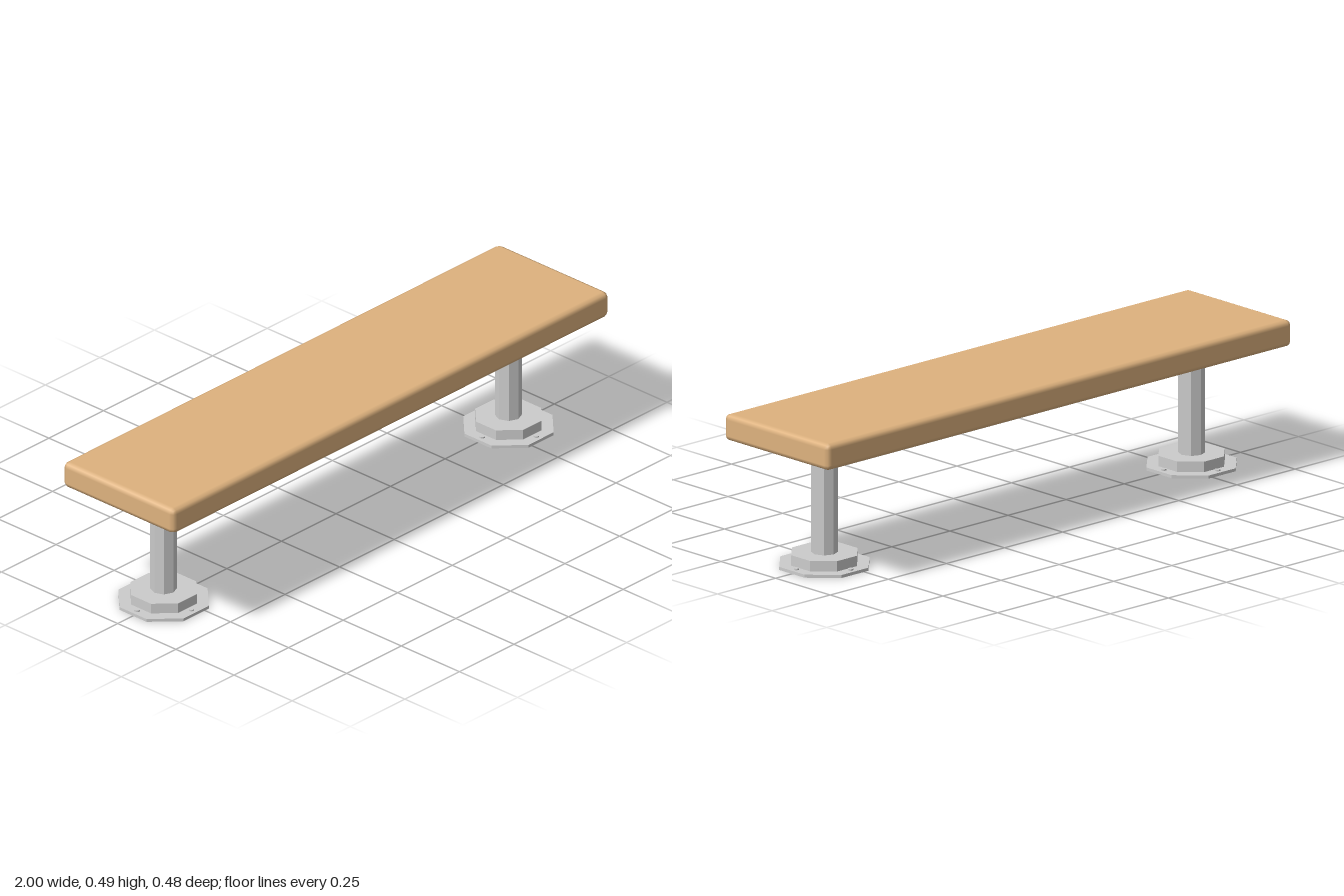
import * as THREE from 'three';
import { RoundedBoxGeometry } from 'three/addons/geometries/RoundedBoxGeometry.js';

const wood = new THREE.MeshStandardMaterial({ color: 0xdeb27e });
const metal = new THREE.MeshStandardMaterial({ color: 0xcccccc, flatShading: true });

function add(parent, name, geometry, material, x, y, z) {
  const mesh = new THREE.Mesh(geometry, material);
  mesh.name = name;
  mesh.position.set(x, y, z);
  parent.add(mesh);
  return mesh;
}

// Eight-sided prism between two heights; turn = 0 puts corners on the axes
function octagon(parent, name, radius, y0, y1, turn, x = 0, z = 0) {
  const geometry = new THREE.CylinderGeometry(radius, radius, y1 - y0, 8);
  geometry.rotateY(turn);
  return add(parent, name, geometry, metal, x, (y0 + y1) / 2, z);
}

function createLeg(x) {
  const leg = new THREE.Group();
  leg.name = 'leg';
  leg.position.x = x;
  const flat = Math.PI / 8;
  const toCorner = 1 / Math.cos(flat);

  octagon(leg, 'basePlate', 0.14 * toCorner, 0, 0.01, flat);
  octagon(leg, 'baseCollar', 0.103 * toCorner, 0.01, 0.044, flat);
  octagon(leg, 'post', 0.0425, 0.044, 0.38, 0);

  // Four bolts around the collar
  for (let i = 0; i < 4; i++) {
    const a = (i * Math.PI) / 2;
    octagon(leg, 'bolt', 0.009, 0.01, 0.015, flat, 0.12 * Math.cos(a), 0.12 * Math.sin(a));
  }
  return leg;
}

export function createModel() {
  const bench = new THREE.Group();
  bench.name = 'bench';

  // Seat slab with softened edges, and the board beneath it
  add(bench, 'seat', new RoundedBoxGeometry(2, 0.088, 0.478, 1, 0.018), wood, 0, 0.443, 0);
  add(bench, 'supportBoard', new THREE.BoxGeometry(1.76, 0.022, 0.162), wood, 0, 0.39, 0);

  for (const side of [-1, 1]) bench.add(createLeg(side * 0.79));
  return bench;
}
